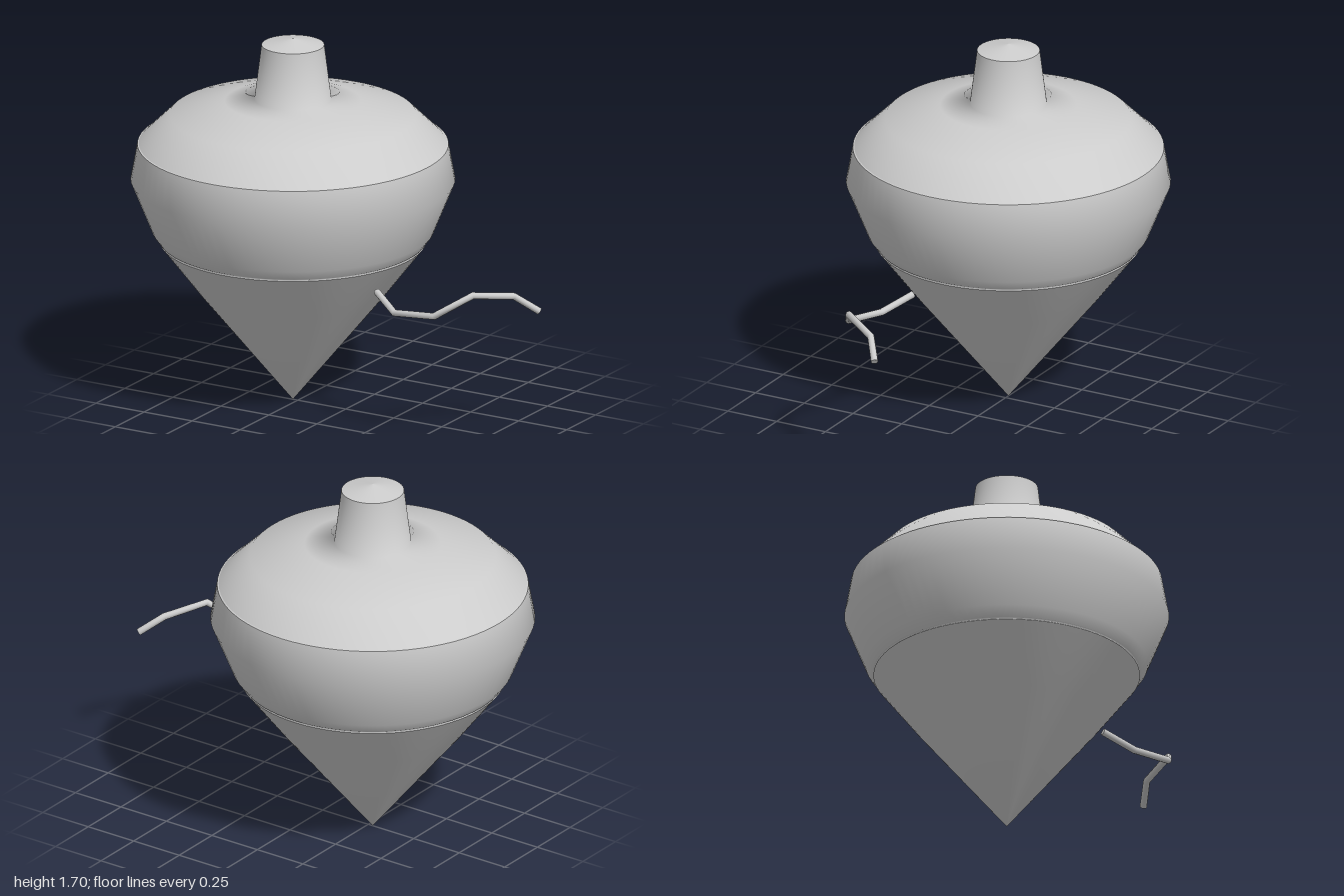
import * as THREE from 'three';

export function createModel() {
  const model = new THREE.Group();
  model.name = 'spinningTop';
  const grey = new THREE.MeshStandardMaterial({ color: 0xcccccc, side: THREE.DoubleSide });
  grey.name = 'plain grey';

  const add = (name, geometry, parent) => {
    const mesh = new THREE.Mesh(geometry, grey);
    mesh.name = name;
    parent.add(mesh);
    return mesh;
  };

  // Turned body: each section is its own lathe so the seams stay sharp
  const body = new THREE.Group();
  body.name = 'body';
  body.position.x = -0.275;
  model.add(body);
  const sections = {
    tipCone: [[0, 0], [0.415, 0.51], [0.595, 0.745]],
    lowerSeam: [[0.595, 0.745], [0.59, 0.75], [0.598, 0.755]],
    belly: [[0.598, 0.755], [0.63, 0.8], [0.725, 1.035], [0.695, 1.2]],
    upperSeam: [[0.695, 1.2], [0.688, 1.202]],
    shoulderAndStem: [[0.688, 1.202], [0.55, 1.338], [0.305, 1.4], [0.172, 1.41], [0.14, 1.665]],
    stemCap: [[0.14, 1.665], [0, 1.695]],
  };
  for (const [name, profile] of Object.entries(sections)) {
    const points = profile.map(([r, y]) => new THREE.Vector2(r, y));
    add(name, new THREE.LatheGeometry(points, 80), body);
  }

  // Loose string with straight runs between its bends
  const string = new THREE.Group();
  string.name = 'string';
  model.add(string);
  const bends = [
    [0.27, 0.645, 0.18], [0.41, 0.592, 0.262], [0.64, 0.625, 0.302],
    [0.79, 0.723, 0.215], [0.9, 0.69, 0.04], [0.99, 0.615, -0.03],
  ].map((p) => new THREE.Vector3(...p));
  const path = new THREE.CatmullRomCurve3(bends, false, 'catmullrom', 0.5);
  path.getPointAt = (t, target) => path.getPoint(t, target);
  path.getTangentAt = (t, target) => path.getTangent(t, target);
  const radius = 0.016;
  add('stringLength', new THREE.TubeGeometry(path, bends.length - 1, radius, 10), string);

  // Flat ends of the string
  for (const [name, t, sign] of [['stringStart', 0, -1], ['stringEnd', 1, 1]]) {
    const cap = add(name, new THREE.CircleGeometry(radius, 10), string);
    cap.position.copy(path.getPoint(t));
    cap.quaternion.setFromUnitVectors(
      new THREE.Vector3(0, 0, 1), path.getTangent(t).multiplyScalar(sign));
  }
  return model;
}
